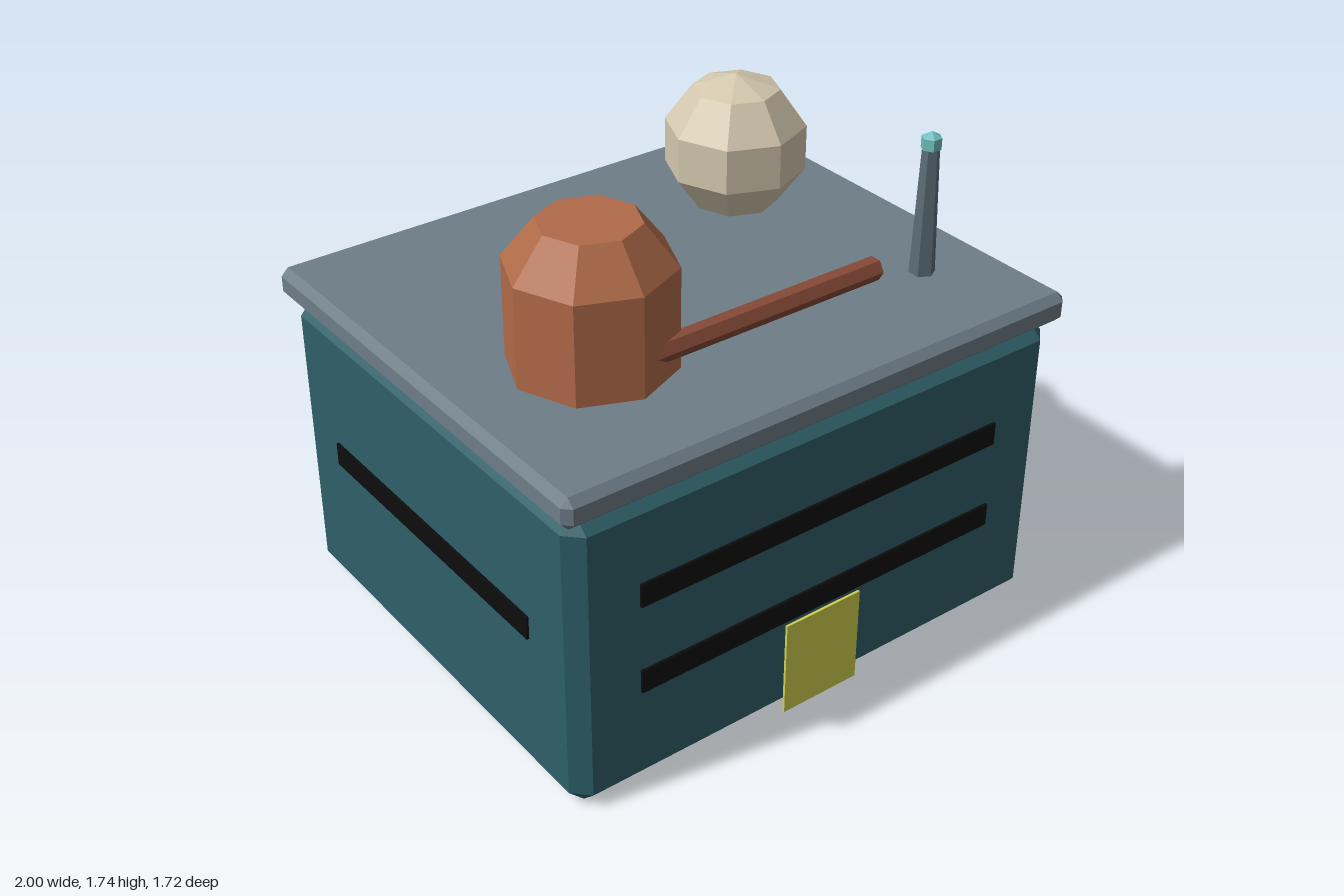
import * as THREE from 'three';
import { ConvexGeometry } from 'three/addons/geometries/ConvexGeometry.js';

const material = (name, color) => {
  const m = new THREE.MeshStandardMaterial({ color });
  m.name = name;
  return m;
};

// Facet a geometry so every face has its own normal
function faceted(geometry) {
  const g = geometry.index ? geometry.toNonIndexed() : geometry;
  g.computeVertexNormals();
  return g;
}

// Box with all edges and corners cut by c
function chamferBox(w, h, d, c) {
  const points = [];
  for (const sx of [-1, 1]) for (const sy of [-1, 1]) for (const sz of [-1, 1]) {
    for (let axis = 0; axis < 3; axis++) {
      const inset = [c, c, c];
      inset[axis] = 0;
      points.push(new THREE.Vector3(
        sx * (w / 2 - inset[0]), sy * (h / 2 - inset[1]), sz * (d / 2 - inset[2])));
    }
  }
  return new ConvexGeometry(points);
}

export function createModel() {
  const model = new THREE.Group();
  model.name = 'rooftopBuilding';

  const teal = material('teal wall', 0x2f5f68);
  const slate = material('slate roof', 0x6e7d88);
  const copper = material('copper tank', 0xb06a48);
  const cream = material('cream dome', 0xd4c8ae);
  const rust = material('rust pipe', 0x864936);
  const steel = material('steel mast', 0x5b6c77);
  const aqua = material('aqua beacon', 0x6fbfbc);
  const yellow = material('yellow door', 0xcfcf50);
  const black = material('black window', 0x0d0d0d);

  const add = (name, geometry, mat, x, y, z) => {
    const mesh = new THREE.Mesh(geometry, mat);
    mesh.name = name;
    mesh.position.set(x, y, z);
    model.add(mesh);
    return mesh;
  };

  // Building block and roof slab
  add('building', chamferBox(1.94, 1.1, 1.67, 0.055), teal, 0, 0.55, 0);
  add('roofSlab', chamferBox(2, 0.11, 1.72, 0.027), slate, 0, 1.155, 0);

  // Window bands and doors, the same on opposite walls
  const t = 0.0095;
  for (const s of [-1, 1]) {
    const end = s > 0 ? 'front' : 'back';
    for (const y of [0.422, 0.753]) {
      add(end + 'WindowBand', new THREE.BoxGeometry(1.46, 0.085, t), black, 0, y, s * (0.835 + t / 2));
    }
    add(end + 'Door', new THREE.BoxGeometry(0.31, 0.36, t), yellow, 0, 0.18, s * (0.837 + t / 2));
    add(s > 0 ? 'leftWindowBand' : 'rightWindowBand',
      new THREE.BoxGeometry(t, 0.085, 1.18), black, s * (0.97 + t / 2), 0.588, 0);
  }

  // Tank with sloped shoulder
  add('tank', faceted(new THREE.CylinderGeometry(0.277, 0.277, 0.35, 8)), copper, -0.5, 1.385, 0.275);
  add('tankShoulder', faceted(new THREE.CylinderGeometry(0.167, 0.277, 0.14, 8)), copper, -0.5, 1.63, 0.275);

  // Pipe running out of the tank
  const pipe = add('pipe', faceted(new THREE.CylinderGeometry(0.041, 0.041, 0.96, 6)), rust, 0, 1.307, 0.482);
  pipe.rotation.z = Math.PI / 2;

  // Spherical dome
  add('sphereDome', faceted(new THREE.SphereGeometry(0.26, 8, 5)), cream, 0.5, 1.463, -0.28);

  // Mast with beacon
  add('mast', faceted(new THREE.CylinderGeometry(0.03, 0.045, 0.45, 6)), steel, 0.69, 1.452, 0.485);
  add('beacon', faceted(new THREE.SphereGeometry(0.04, 6, 3)), aqua, 0.69, 1.697, 0.485);

  return model;
}
